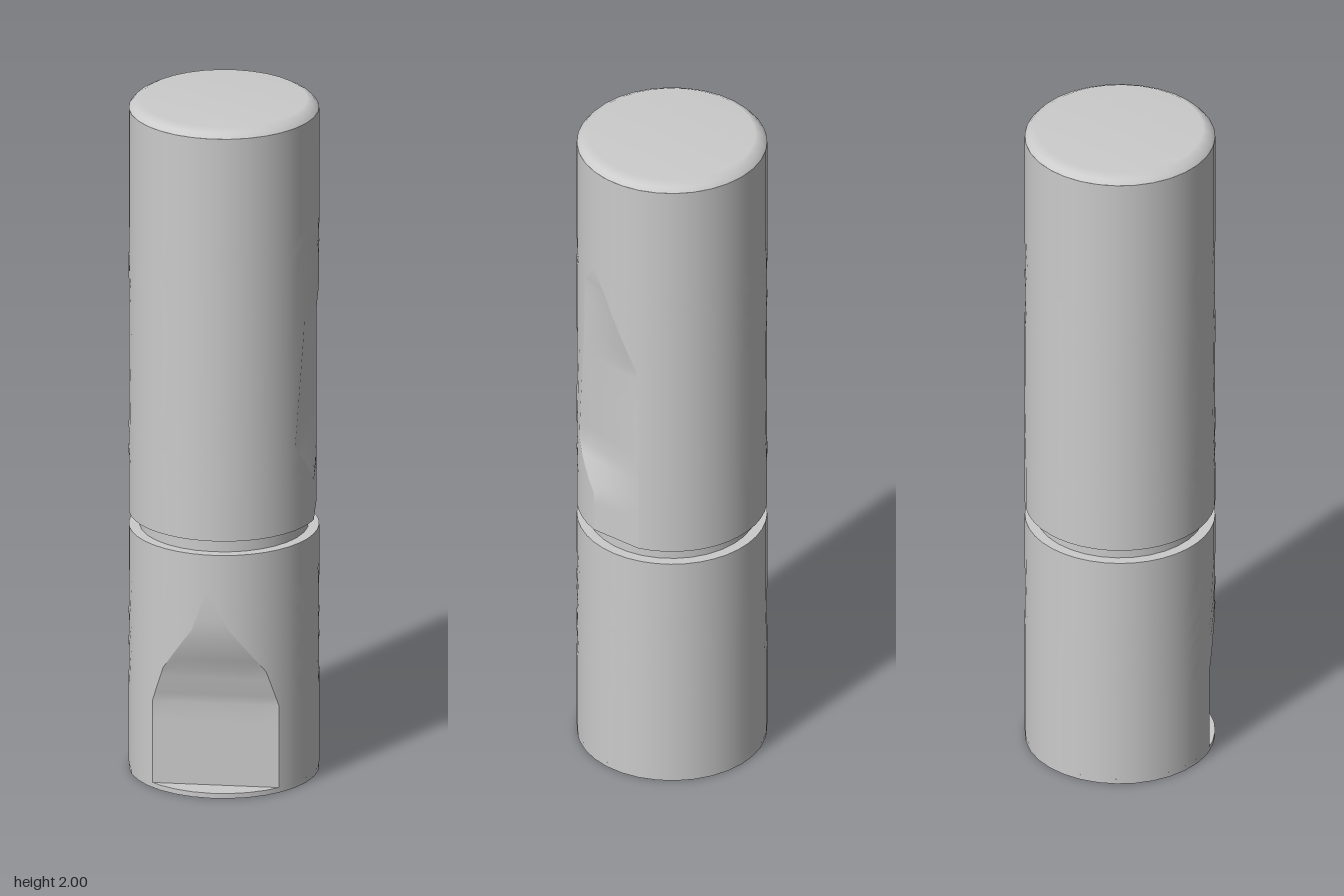
import * as THREE from 'three';

const R = 0.268;
const DEG = Math.PI / 180;
const material = new THREE.MeshStandardMaterial({ color: 0xcccccc });

// Surface through rows of points, lowest row first, each row running counter-clockwise
function grid(rows) {
  const n = rows[0].length;
  const index = [];
  for (let i = 0; i < rows.length - 1; i++) {
    for (let j = 0; j < n - 1; j++) {
      const a = i * n + j, d = a + n;
      index.push(a, a + 1, d + 1, a, d + 1, d);
    }
  }
  const geometry = new THREE.BufferGeometry().setFromPoints(rows.flat());
  geometry.setIndex(index);
  geometry.computeVertexNormals();
  return geometry;
}

const onRim = (deg, y) => new THREE.Vector3(R * Math.sin(deg * DEG), y, R * Math.cos(deg * DEG));

function add(group, geometry, name) {
  const mesh = new THREE.Mesh(geometry, material);
  mesh.name = name;
  group.add(mesh);
}

// Round section with a planed-off facet; keys are [y, facet start angle, facet end angle]
function notchedSection(name, keys) {
  const group = new THREE.Group();
  group.name = name;
  const wall = [], facet = [];
  const steps = 4;
  for (let k = 0; k < keys.length; k++) {
    const next = keys[k + 1];
    for (let s = 0; s < (next ? steps : 1); s++) {
      const [y, from, to] = keys[k].map((v, i) => next ? THREE.MathUtils.lerp(v, next[i], s / steps) : v);
      wall.push(Array.from({ length: 41 }, (_, j) => onRim(to + (from + 360 - to) * j / 40, y)));
      const a = onRim(from, y), b = onRim(to, y);
      facet.push(Array.from({ length: 7 }, (_, j) => a.clone().lerp(b, j / 6)));
    }
  }

  // Radial normals keep the barrel smooth across its seam
  const barrel = grid(wall);
  const p = barrel.attributes.position;
  for (let i = 0; i < p.count; i++) barrel.attributes.normal.setXYZ(i, p.getX(i) / R, 0, p.getZ(i) / R);
  add(group, barrel, name + 'Barrel');
  add(group, grid(facet), name + 'Facet');

  // Flat end caps follow the outline of the end rows
  const ring = i => [...facet.at(i), ...wall.at(i).slice(1)];
  const centre = row => row.map(v => new THREE.Vector3(0, v.y, 0));
  const bottom = ring(0), top = ring(-1);
  add(group, grid([centre(bottom), bottom]), name + 'Underside');
  add(group, grid([top, centre(top)]), name + 'Top');
  return group;
}

function disc(group, radius, y0, y1, name) {
  const geometry = new THREE.CylinderGeometry(radius, radius, y1 - y0, 32);
  geometry.translate(0, (y0 + y1) / 2, 0);
  add(group, geometry, name);
}

export function createModel() {
  const model = new THREE.Group();
  model.name = 'notchedPin';

  // Thin full foot under the lower notch
  disc(model, R, 0, 0.015, 'foot');

  // Lower section, notch on the front right
  model.add(notchedSection('lowerSection', [
    [0.015, -97, -13], [0.26, -97, -13], [0.37, -88, -22],
    [0.5, -68, -45], [0.62, -59, -59], [0.728, -59, -59],
  ]));

  // Recessed groove between the sections
  disc(model, 0.238, 0.72, 0.78, 'groove');

  // Upper section, long notch on the front left
  model.add(notchedSection('upperSection', [
    [0.77, 22, 56], [0.89, 22, 56], [1.02, 0, 56], [1.25, 6, 56],
    [1.36, 9, 55], [1.58, 11, 32], [1.65, 22, 22], [1.975, 22, 22],
  ]));

  // Bevelled top
  const profile = [[R, 1.975], [0.257, 1.988], [0.235, 2], [0, 2]].map(([x, y]) => new THREE.Vector2(x, y));
  add(model, new THREE.LatheGeometry(profile, 32), 'bevelledTop');

  return model;
}
